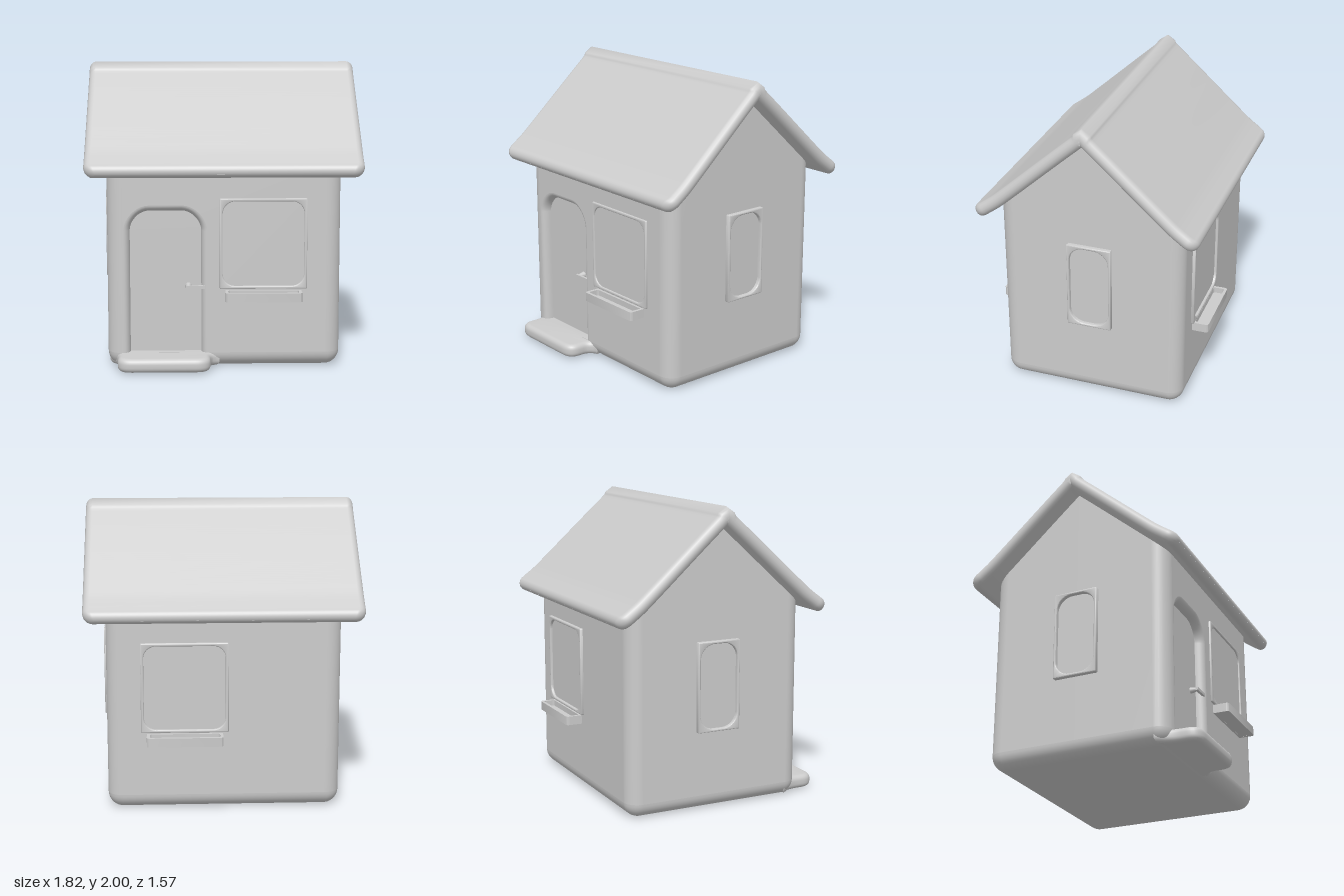
import * as THREE from 'three';
import { toCreasedNormals } from 'three/addons/utils/BufferGeometryUtils.js';

const MAT = new THREE.MeshStandardMaterial({ color: 0xcccccc });
const V = (x, y, z) => new THREE.Vector3(x, y, z);
const ZC = -0.03, FRONT = 0.6, HX = 0.77, HZ = 0.63, R = 0.1;

function add(parent, name, geometry, x = 0, y = 0, z = 0) {
  const mesh = new THREE.Mesh(geometry, MAT);
  mesh.name = name;
  mesh.position.set(x, y, z);
  parent.add(mesh);
  return mesh;
}

// Skin a list of equal-length cross-section loops
function loft(rings, closed) {
  const n = rings[0].length, index = [];
  for (let i = 0; i < rings.length - 1; i++) {
    for (let j = 0; j < (closed ? n : n - 1); j++) {
      const k = (j + 1) % n;
      const a = i * n + j, b = i * n + k, c = b + n, d = a + n;
      index.push(a, b, c, a, c, d);
    }
  }
  const g = new THREE.BufferGeometry().setFromPoints(rings.flat());
  g.setIndex(index);
  g.computeVertexNormals();
  return g;
}

// Rounded rectangle as a shape or as a hole path
function roundRect(path, x0, y0, x1, y1, r) {
  path.moveTo(x0 + r, y0);
  path.lineTo(x1 - r, y0);
  path.absarc(x1 - r, y0 + r, r, -Math.PI / 2, 0);
  path.lineTo(x1, y1 - r);
  path.absarc(x1 - r, y1 - r, r, 0, Math.PI / 2);
  path.lineTo(x0 + r, y1);
  path.absarc(x0 + r, y1 - r, r, Math.PI / 2, Math.PI);
  path.lineTo(x0, y0 + r);
  path.absarc(x0 + r, y0 + r, r, Math.PI, Math.PI * 1.5);
  return path;
}

function extrude(shape, depth, bevel = 0, bevelSegments = 3) {
  const g = new THREE.ExtrudeGeometry(shape, {
    depth: depth - 2 * bevel, curveSegments: 10, bevelEnabled: bevel > 0,
    bevelSize: bevel, bevelThickness: bevel, bevelOffset: -bevel, bevelSegments,
  });
  g.translate(0, 0, bevel);
  return toCreasedNormals(g, 0.7);
}

// Plan outline of the walls, from front right round the back to front left
function planRing(inset, yAt) {
  const pts = [], r = R - inset;
  const corners = [[1, 1, 90], [1, -1, 0], [-1, -1, -90], [-1, 1, -180]];
  corners.forEach(([sx, sz, start], c) => {
    for (let i = 0; i <= 8; i++) {
      const a = THREE.MathUtils.degToRad(start - i * 11.25);
      const x = sx * (HX - R) + r * Math.cos(a), z = sz * (HZ - R) + r * Math.sin(a);
      pts.push(V(x, yAt(z), z + ZC));
    }
    const x = sx * (HX - inset);
    if (c === 0 || c === 2) pts.push(V(x, yAt(0), ZC)); // under the ridge
  });
  return pts;
}

// Door opening, right foot up and over to left foot
function doorOutline(d, z) {
  const x0 = -0.66 + d, x1 = -0.11 - d, top = 1.085 - d, r = 0.17 - d;
  const pts = [V(x1, R, z)];
  for (let q = 0; q < 2; q++) {
    for (let i = 0; i <= 10; i++) {
      const a = (q + i / 10) * Math.PI / 2;
      pts.push(V((q ? x0 + r : x1 - r) + r * Math.cos(a), top - r + 0.8 * r * Math.sin(a) + 0.2 * r * Math.sin(a) ** 2, z));
    }
  }
  pts.push(V(x0, R, z));
  return pts;
}

function makeWalls(group) {
  const gable = z => 1.93 - 0.9 * Math.abs(z);
  const base = [planRing(0, () => 0).map(() => V(0, 0, ZC))];
  for (let i = 0; i <= 10; i++) {
    const a = i / 10 * Math.PI / 2;
    base.push(planRing(R * (1 - Math.sin(a)), () => R * (1 - Math.cos(a))));
  }
  add(group, 'base', loft(base, true));
  add(group, 'walls', loft([planRing(0, () => R), planRing(0, gable)], false));

  // Front wall with the door notch
  const w = HX - R, top = gable(HZ);
  const outline = [V(-w, R, 0), ...doorOutline(0, 0).reverse(), V(w, R, 0), V(w, top, 0), V(-w, top, 0)];
  add(group, 'frontWall', new THREE.ShapeGeometry(new THREE.Shape(outline)), 0, 0, FRONT);
}

function makeDoor(group) {
  const rings = [];
  for (let i = 0; i <= 8; i++) {
    const a = i / 8 * Math.PI / 2;
    rings.push(doorOutline(0.04 * Math.sin(a), FRONT - 0.06 * (1 - Math.cos(a))));
  }
  add(group, 'doorJamb', loft(rings, false));
  add(group, 'door', new THREE.ShapeGeometry(new THREE.Shape(doorOutline(0.04, 0))), 0, 0, FRONT - 0.06);

  // Lever handle on a tapered stem
  add(group, 'handle', new THREE.BoxGeometry(0.125, 0.02, 0.018), -0.19, 0.54, 0.588);
  const stem = new THREE.CylinderGeometry(0.01, 0.022, 0.05, 12).rotateX(Math.PI / 2);
  add(group, 'handleStem', stem, -0.235, 0.54, 0.563);

  // Doorstep, flaring out where it meets the wall
  const s = new THREE.Shape();
  s.moveTo(-0.76, 0.5);
  s.lineTo(-0.03, 0.5);
  s.lineTo(-0.03, 0.59);
  s.quadraticCurveTo(-0.09, 0.6, -0.09, 0.66);
  s.lineTo(-0.09, 0.69);
  s.quadraticCurveTo(-0.09, 0.78, -0.19, 0.78);
  s.lineTo(-0.6, 0.78);
  s.quadraticCurveTo(-0.7, 0.78, -0.7, 0.69);
  s.lineTo(-0.7, 0.66);
  s.quadraticCurveTo(-0.7, 0.6, -0.72, 0.56);
  add(group, 'doorstep', extrude(s, 0.092, 0.035, 5).rotateX(Math.PI / 2), 0, 0.099, 0);
}

// Roof: a soft-edged slab following the ridge line, with flared eaves
function makeRoof(group) {
  const half = [[0.03, 1.912], [0.15, 1.805], [0.3, 1.67], [0.52, 1.472], [0.6, 1.402], [0.66, 1.357], [0.71, 1.322], [0.75, 1.3]];
  const path = new THREE.CatmullRomCurve3([
    ...half.map(([z, y]) => V(0, y, ZC - z)).reverse(), V(0, 1.942, ZC), ...half.map(([z, y]) => V(0, y, ZC + z)),
  ]);
  path.arcLengthDivisions = 1000;
  const length = path.getLength(), rings = [], N = 160;
  const round = (r, d) => (d >= r ? r : Math.sqrt(Math.max(0, r * r - (r - d) ** 2)));
  for (let i = 0; i <= N; i++) {
    const u = (1 - Math.cos(i / N * Math.PI)) / 2;
    const p = path.getPointAt(u), t = path.getTangentAt(u);
    const d = Math.min(u, 1 - u) * length;
    const mitre = 1 + 0.3 * Math.max(0, 1 - Math.abs(p.z - ZC) / 0.03);
    const h = round(0.045, d) + 1e-4, w = 0.83 + round(0.08, d);
    const ring = [];
    for (let k = 0; k < 18; k++) {
      const side = k < 9 ? 1 : -1;
      const a = ((k % 9) / 8 - 0.5) * Math.PI + (k < 9 ? 0 : Math.PI);
      const n = h * Math.sin(a) * mitre;
      ring.push(V(side * (w - h) + h * Math.cos(a), p.y + n * t.z, p.z - n * t.y));
    }
    rings.push(ring);
  }
  add(group, 'roof', loft(rings, true));
}

// Window facing +z, with its frame standing proud of the wall
function makeWindow(name, w, h, proud, r, rim) {
  const g = new THREE.Group();
  g.name = name;
  const s = roundRect(new THREE.Shape(), -w / 2, -h / 2, w / 2, h / 2, 0.008);
  s.holes.push(roundRect(new THREE.Path(), -w / 2 + rim, -h / 2 + rim, w / 2 - rim, h / 2 - rim, r));
  add(g, 'frame', extrude(s, proud + 0.03, 0.007), 0, 0, -0.03);
  add(g, 'pane', new THREE.PlaneGeometry(w - 0.02, h - 0.02), 0, 0, 0.003);
  return g;
}

// Open flower box below a window
function addPlanter(g) {
  const box = new THREE.Group();
  box.name = 'planter';
  const s = roundRect(new THREE.Shape(), -0.25, -0.02, 0.25, 0.11, 0.02);
  s.holes.push(roundRect(new THREE.Path(), -0.23, 0.015, 0.23, 0.09, 0.012));
  add(box, 'planterSides', extrude(s, 0.06).rotateX(Math.PI / 2), 0, 0.06, 0);
  add(box, 'planterFloor', new THREE.BoxGeometry(0.47, 0.02, 0.09), 0, 0.011, 0.05);
  box.position.y = 0.46 - 0.83;
  g.add(box);
}

export function createModel() {
  const house = new THREE.Group();
  house.name = 'house';
  makeWalls(house);
  makeDoor(house);
  makeRoof(house);

  // Large windows front and back, narrow ones on the gable ends
  for (const [name, z, turn, proud] of [['frontWindow', FRONT, 0, 0.013], ['backWindow', ZC - HZ, Math.PI, 0.02]]) {
    const g = makeWindow(name, 0.575, 0.6, proud, 0.08, 0.02);
    addPlanter(g);
    g.position.set(0.258, 0.83, z);
    g.rotation.y = turn;
    house.add(g);
  }
  for (const side of [1, -1]) {
    const g = makeWindow(side > 0 ? 'leftWindow' : 'rightWindow', 0.305, 0.6, 0.03, 0.1, 0.018);
    g.position.set(side * HX, 0.83, ZC);
    g.rotation.y = side * Math.PI / 2;
    house.add(g);
  }
  return house;
}
